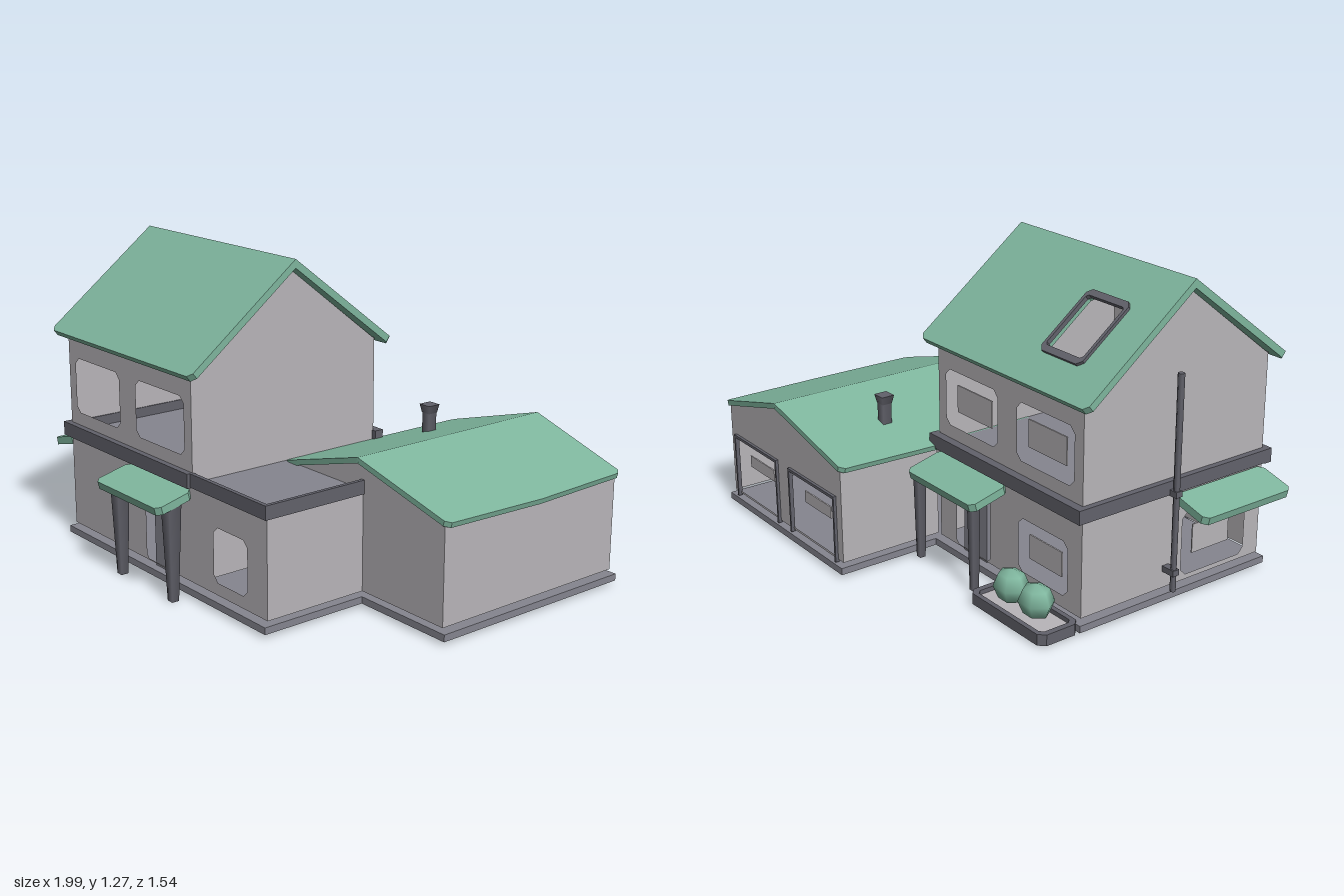
import * as THREE from 'three';

const mat = (name, color, side = THREE.FrontSide) => {
  const m = new THREE.MeshStandardMaterial({ color, side });
  m.name = name;
  return m;
};

export function createModel() {
  const house = new THREE.Group();
  house.name = 'house';
  const green = mat('roof green', 0x7fb69e);
  const plaster = mat('wall grey', 0xb8b5b9, THREE.DoubleSide);
  const stone = mat('floor grey', 0x85858f);
  const trim = mat('trim dark grey', 0x62626b);

  const add = (name, geo, m, x = 0, y = 0, z = 0, parent = house) => {
    const mesh = new THREE.Mesh(geo, m);
    mesh.name = name;
    mesh.position.set(x, y, z);
    parent.add(mesh);
    return mesh;
  };
  // box given by its lower and upper corners
  const block = (name, m, x0, x1, y0, y1, z0, z1) =>
    add(name, new THREE.BoxGeometry(x1 - x0, y1 - y0, z1 - z0), m, (x0 + x1) / 2, (y0 + y1) / 2, (z0 + z1) / 2);
  const poly = pts => new THREE.Shape(pts.map(p => new THREE.Vector2(p[0], p[1])));
  // rectangle with cut corners
  const cutRect = (x0, x1, y0, y1, c) => poly([
    [x0 + c, y0], [x1 - c, y0], [x1, y0 + c], [x1, y1 - c],
    [x1 - c, y1], [x0 + c, y1], [x0, y1 - c], [x0, y0 + c]]);
  const extrude = (shape, depth) => new THREE.ExtrudeGeometry(shape, { depth, bevelEnabled: false });

  // thin wall; outline and openings use world x or z, and y
  const facing = { front: [1, 0], back: [-1, Math.PI], right: [-1, Math.PI / 2], left: [1, -Math.PI / 2] };
  const wall = (name, dir, at, outline, openings = []) => {
    const [s, turn] = facing[dir];
    const shape = poly(outline.map(([u, y]) => [u * s, y]));
    for (const [a, b, y0, y1, c = 0.025] of openings) {
      shape.holes.push(cutRect(Math.min(a * s, b * s), Math.max(a * s, b * s), y0, y1, c));
    }
    const alongZ = dir === 'front' || dir === 'back';
    add(name, new THREE.ShapeGeometry(shape), plaster, alongZ ? 0 : at, 0, alongZ ? at : 0).rotation.y = turn;
  };
  const rect = (a, b, y0, y1) => [[a, y0], [b, y0], [b, y1], [a, y1]];
  const gable = (a, b, eave, top) => [[a, 0.06], [b, 0.06], [b, eave], [(a + b) / 2, top], [a, eave]];

  // main block and front wing walls
  const upper = [[-0.78, -0.45, 0.56, 0.79], [-0.33, 0, 0.56, 0.79]];
  const doorway = [-0.28, -0.06, 0.065, 0.33, 0.015];
  wall('frontWall', 'front', 0.61,
    [[-0.83, 0.06], [0.51, 0.06], [0.51, 0.46], [0.05, 0.46], [0.05, 0.9], [-0.83, 0.9]],
    [...upper, doorway, [0.18, 0.39, 0.11, 0.33]]);
  wall('backWall', 'back', -0.29, rect(-0.83, 0.05, 0.06, 0.9), [...upper, doorway, [-0.75, -0.46, 0.11, 0.33]]);
  wall('rightWall', 'right', 0.05, gable(-0.29, 0.61, 0.89, 1.24));
  wall('leftWall', 'left', -0.83, gable(-0.29, 0.61, 0.89, 1.24), [[0.2, 0.53, 0.08, 0.34]]);
  wall('wingWall', 'right', 0.51, rect(0.16, 0.61, 0.06, 0.46));

  // garage walls
  const gates = [0.735, 0.285];
  wall('garageFrontWall', 'front', 0.16, [[0.51, 0.06], [0.95, 0.06], [0.95, 0.45], [0.51, 0.58], [0.07, 0.45], [0.51, 0.45]]);
  wall('garageBackWall', 'back', -0.74, gable(0.07, 0.95, 0.45, 0.58),
    gates.map(x => [x - 0.175, x + 0.175, 0.07, 0.33, 0.008]));
  wall('garageRightWall', 'right', 0.95, rect(-0.74, 0.16, 0.06, 0.45));
  wall('garageLeftWall', 'left', 0.07, rect(-0.74, -0.29, 0.06, 0.45));

  // panes and doors set behind the openings
  for (const x of [-0.61, -0.165]) block('windowPane', plaster, x - 0.11, x + 0.11, 0.62, 0.73, -0.276, -0.27);
  block('lowerWindowPane', plaster, -0.7, -0.51, 0.17, 0.27, -0.276, -0.27);
  block('sideWindowPane', plaster, -0.815, -0.81, 0.15, 0.27, 0.27, 0.46);
  for (const x of gates) {
    block('garageGateBar', plaster, x - 0.1, x + 0.1, 0.2, 0.25, -0.72, -0.714);
    block('garageGateLintel', trim, x - 0.175, x + 0.175, 0.318, 0.33, -0.752, -0.735);
    for (const s of [-1, 1]) {
      block('garageGateJamb', trim, x + s * 0.172 - 0.005, x + s * 0.172 + 0.005, 0.05, 0.33, -0.752, -0.735);
    }
  }
  block('frontDoor', stone, -0.24, -0.09, 0.01, 0.305, 0.575, 0.595);
  block('backDoor', stone, -0.24, -0.09, 0.03, 0.305, -0.275, -0.255);

  // ground slab following the plan
  const plan = poly([[-0.85, -0.63], [0.52, -0.63], [0.52, -0.17], [0.97, -0.17], [0.97, 0.755], [0.06, 0.755], [0.06, 0.31], [-0.85, 0.31]]);
  add('groundSlab', extrude(plan, 0.028), stone, 0, 0.015, 0).rotation.x = -Math.PI / 2;

  // upper floor, terrace and the band around them
  block('upperFloor', stone, -0.82, 0.05, 0.455, 0.465, -0.28, 0.6);
  block('terraceFloor', stone, 0.05, 0.5, 0.455, 0.465, 0.16, 0.6);
  block('frontBand', trim, -0.855, 0.05, 0.447, 0.505, 0.6, 0.635);
  block('terraceFrontBand', trim, 0.05, 0.518, 0.45, 0.505, 0.605, 0.622);
  block('terraceSideBand', trim, 0.502, 0.518, 0.45, 0.505, 0.16, 0.605);
  block('backBand', trim, -0.855, 0.07, 0.45, 0.505, -0.325, -0.285);
  block('leftBand', trim, -0.855, -0.825, 0.45, 0.505, -0.325, 0.635);

  // gable roof with its ridge along local x; the second slope may have an opening
  const gableRoof = (name, ridge, eave, half, drop, bulge, thick, opening) => {
    const roof = new THREE.Group();
    roof.name = name;
    const run = Math.hypot(half, drop), tilt = Math.atan2(drop, half) - Math.PI / 2;
    for (const side of [0, 1]) {
      const slope = new THREE.Group();
      slope.name = name + 'Slope';
      slope.rotation.x = tilt;
      const turn = new THREE.Group();
      turn.rotation.y = side * Math.PI;
      turn.add(slope);
      roof.add(turn);
      const e = eave / 2;
      const shape = poly([[-ridge / 2, 0], [-e, 0.02 - run], [0.02 - e, -run], [0, -run - bulge], [e - 0.02, -run], [e, 0.02 - run], [ridge / 2, 0]]);
      if (side && opening) {
        const [x0, x1, y0, y1] = opening;
        shape.holes.push(cutRect(x0, x1, y0, y1, 0.02));
        const frame = cutRect(x0 - 0.006, x1 + 0.006, y0 - 0.008, y1 + 0.008, 0.02);
        frame.holes.push(cutRect(x0 + 0.008, x1 - 0.008, y0 + 0.02, y1 - 0.02, 0.01));
        add('skylightFrame', extrude(frame, 0.018), trim, 0, 0, -0.006, slope);
      }
      add(name + 'Plate', extrude(shape, thick), green, 0, 0, -thick, slope);
    }
    house.add(roof);
    return roof;
  };
  gableRoof('mainRoof', 1, 1, 0.495, 0.38, 0, 0.028, [0.11, 0.33, -0.475, -0.19]).position.set(-0.39, 1.275, 0.16);
  const garageRoof = gableRoof('garageRoof', 0.96, 0.92, 0.465, 0.132, 0.015, 0.022);
  garageRoof.position.set(0.51, 0.597, -0.29);
  garageRoof.rotation.y = Math.PI / 2;

  // sloping canopies over the doors and the side window
  const canopy = (name, width, depth, x, y, z, turn) => {
    const g = new THREE.Group();
    g.name = name;
    g.position.set(x, y, z);
    g.rotation.y = turn;
    const plate = add(name + 'Plate', extrude(cutRect(-width / 2, width / 2, -depth, 0, 0.02), 0.032), green, 0, 0, 0, g);
    plate.rotation.x = -Math.PI / 2 + 0.25;
    house.add(g);
  };
  canopy('frontCanopy', 0.44, 0.165, -0.17, 0.405, 0.605, 0);
  canopy('backCanopy', 0.43, 0.175, -0.18, 0.405, -0.285, Math.PI);
  canopy('sideCanopy', 0.45, 0.17, -0.83, 0.405, 0.375, -Math.PI / 2);

  // tapered porch posts
  for (const x of [-0.34, 0.02]) {
    for (const [z, foot, top, base] of [[0.69, 0, 0.04, 0.022], [-0.41, 0.01, 0.026, 0.018]]) {
      const post = new THREE.CylinderGeometry(top, base, 0.4 - foot, 4);
      post.rotateY(Math.PI / 4);
      add('porchPost', post, trim, x, 0.2 + foot / 2, z);
    }
  }

  // drainpipe with brackets
  add('drainpipe', new THREE.CylinderGeometry(0.014, 0.012, 0.87, 6), trim, -0.875, 0.495, 0.12);
  for (const y of [0.14, 0.46]) block('pipeBracket', trim, -0.89, -0.83, y - 0.012, y + 0.012, 0.105, 0.135);

  // chimney
  const stack = new THREE.CylinderGeometry(0.028, 0.028, 0.09, 4).rotateY(Math.PI / 4);
  add('chimney', stack, trim, 0.245, 0.555, -0.42);
  const cap = new THREE.CylinderGeometry(0.04, 0.03, 0.035, 4).rotateY(Math.PI / 4);
  add('chimneyCap', cap, trim, 0.245, 0.617, -0.42);

  // planter with two bushes
  const edge = cutRect(-0.84, -0.4, 0.3, 0.48, 0.025);
  edge.holes.push(cutRect(-0.815, -0.425, 0.32, 0.46, 0.015));
  add('planterEdge', extrude(edge, 0.045), trim, 0, 0.008, 0).rotation.x = -Math.PI / 2;
  block('planterBed', plaster, -0.82, -0.42, 0.015, 0.035, -0.465, -0.315);
  for (const x of [-0.69, -0.54]) {
    const bush = add('bush', new THREE.SphereGeometry(0.078, 6, 4), green, x, 0.105, -0.385);
    bush.scale.set(1, 0.9, 0.85);
  }
  return house;
}
